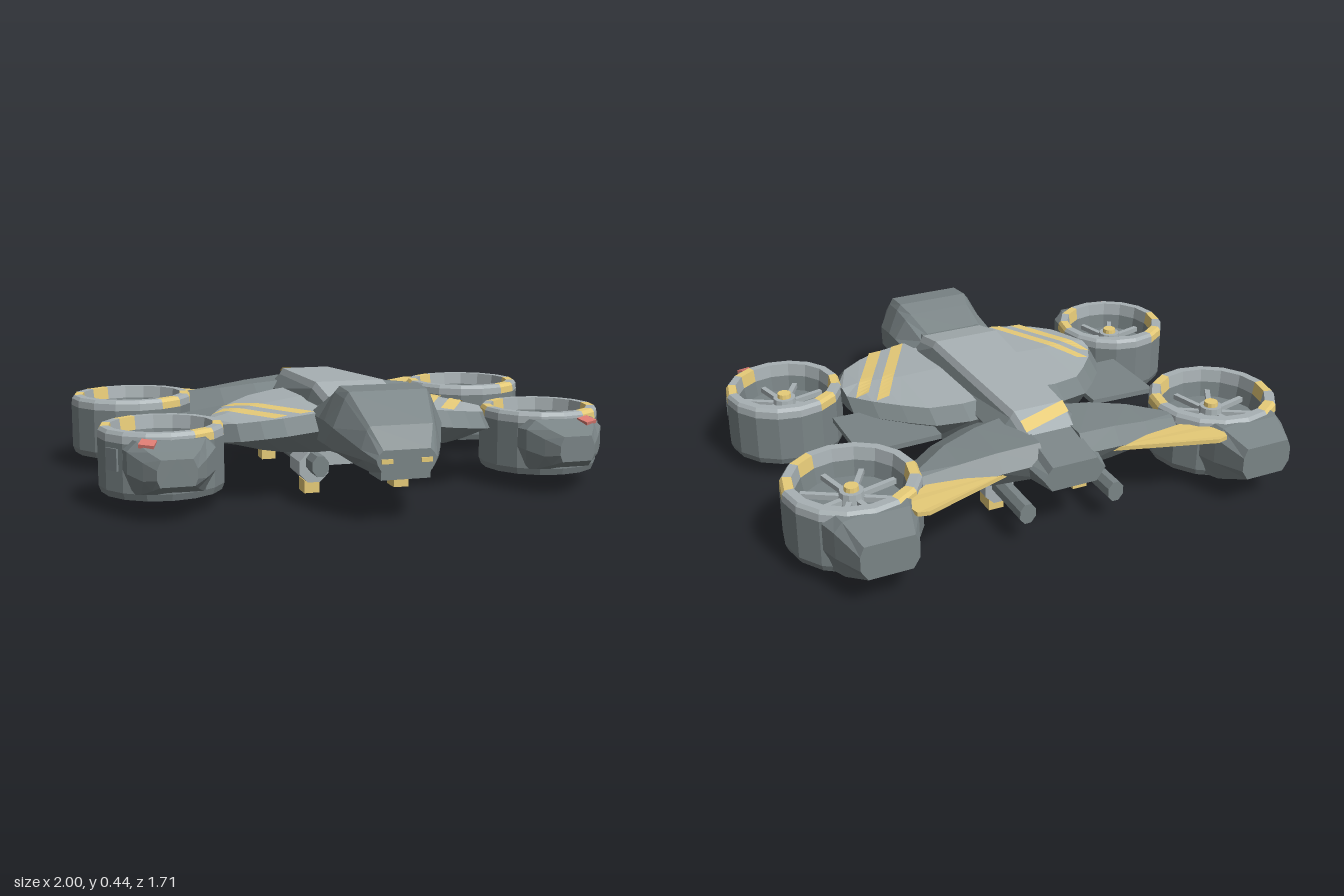
import * as THREE from 'three';

const mat = (name, color, side = THREE.FrontSide) =>
  Object.assign(new THREE.MeshStandardMaterial({ color, flatShading: true, side }), { name });
const hull = mat('hull grey', 0x7a8486);
const light = mat('light panel grey', 0xa8b1b4);
const yellow = mat('marking yellow', 0xeace7a, THREE.DoubleSide);
const red = mat('lamp red', 0xdb7b72);

function add(parent, name, geometry, material, x = 0, y = 0, z = 0) {
  const m = new THREE.Mesh(geometry, material);
  m.name = name;
  m.position.set(x, y, z);
  parent.add(m);
  return m;
}

// Skin equal-length rings of points into a capped solid; isLight(ring, side) picks light faces.
function loft(rings, isLight = () => false) {
  const tris = [[], []];
  const n = rings[0].length;
  for (let i = 0; i < rings.length - 1; i++) for (let j = 0; j < n; j++) {
    const k = (j + 1) % n, [a, b, c, d] = [rings[i][j], rings[i][k], rings[i + 1][k], rings[i + 1][j]];
    tris[isLight(i, j) ? 1 : 0].push([a, b, c], [a, c, d]);
  }
  const end = rings[rings.length - 1];
  for (let j = 1; j < n - 1; j++) tris[0].push([rings[0][0], rings[0][j + 1], rings[0][j]], [end[0], end[j], end[j + 1]]);
  const V = (p) => new THREE.Vector3(...p);
  let volume = 0;
  tris.flat().forEach(([a, b, c]) => { volume += V(a).dot(V(b).cross(V(c))); });
  const pos = tris.map((list) => list.flatMap(([a, b, c]) => (volume < 0 ? [a, c, b] : [a, b, c]).flat()));
  const g = new THREE.BufferGeometry();
  g.setAttribute('position', new THREE.Float32BufferAttribute(pos.flat(), 3));
  g.addGroup(0, pos[0].length / 3, 0);
  g.addGroup(pos[0].length / 3, pos[1].length / 3, 1);
  g.computeVertexNormals();
  return g;
}

// Painted band from a to b (x, z), following a height function.
function band(a, b, ax, az, height) {
  const p = [], idx = [], n = 16;
  for (let i = 0; i <= n; i++) {
    const t = i / n, x = a[0] + (b[0] - a[0]) * t, z = a[1] + (b[1] - a[1]) * t;
    p.push(x, height(x, z) + 0.006, z, x + ax, height(x + ax, z + az) + 0.006, z + az);
    if (i < n) idx.push(2 * i, 2 * i + 1, 2 * i + 2, 2 * i + 1, 2 * i + 3, 2 * i + 2);
  }
  const g = new THREE.BufferGeometry();
  g.setAttribute('position', new THREE.Float32BufferAttribute(p, 3));
  g.setIndex(idx);
  g.computeVertexNormals();
  return g;
}

// Linear interpolation through [key, value] pairs with ascending keys.
function lerpTable(table, k) {
  for (let i = 0; i < table.length - 1; i++) {
    const [[k0, v0], [k1, v1]] = [table[i], table[i + 1]];
    if (k <= k1 || i === table.length - 2) return v0 + (v1 - v0) * (k - k0) / (k1 - k0);
  }
}

// Symmetric ring across z from right-hand [halfWidth, y] pairs, listed top to bottom.
const ringZ = (z, pairs, cx = 0) => [
  ...pairs.map(([w, y]) => [cx + w, y, z]),
  ...pairs.slice().reverse().map(([w, y]) => [cx - w, y, z]),
];

// Front wing sections: x, front z, back z, top y, bottom y
const wing = [
  [0.08, 0.47, -0.29, 0.352, 0.178], [0.2, 0.485, -0.28, 0.34, 0.178], [0.32, 0.482, -0.235, 0.326, 0.185],
  [0.4, 0.46, -0.15, 0.316, 0.195], [0.48, 0.42, -0.05, 0.304, 0.21], [0.545, 0.32, 0.065, 0.288, 0.225],
];
const wingTop = ([, f, b, t]) => [[b + 0.075, t - 0.01], [(f + b) / 2, t], [f - 0.07, t - 0.015]];
const wingHeight = (x, z) =>
  lerpTable(wing.map((s) => [s[0], lerpTable(wingTop(s), z)]), Math.abs(x));

function buildWings(g, s) {
  const rings = wing.map((w) => {
    const [x, f, b, t, low] = w, top = wingTop(w);
    return [[f, t - 0.07], ...top.reverse(), [b, t - 0.05], [b + 0.07, low], [f - 0.08, low]]
      .map(([z, y]) => [s * x, y, z]);
  });
  add(g, 'frontWing', loft(rings, (i, j) => j === 1 || j === 2), [hull, light]);
  add(g, 'wingStripe', band([s * 0.415, 0.01], [s * 0.2, 0.405], s * 0.052, 0, wingHeight), yellow);
  add(g, 'wingStripe', band([s * 0.472, 0.085], [s * 0.3, 0.4], s * 0.05, 0.01, wingHeight), yellow);

  // Rear wing: x, back z, front z, top y, bottom y
  const rear = [[0.08, -0.66, -0.25, 0.345, 0.19], [0.24, -0.64, -0.27, 0.33, 0.19],
    [0.38, -0.625, -0.31, 0.31, 0.2], [0.54, -0.61, -0.41, 0.285, 0.21]];
  add(g, 'rearWing', loft(rear.map(([x, b, f, t, low]) =>
    [[b, t - 0.07], [b + 0.05, t - 0.01], [f - 0.13, t], [f, t - 0.07], [f - 0.06, low], [b + 0.05, low]]
      .map(([z, y]) => [s * x, y, z]))), hull);

  // Side plate
  const plate = (d) => [[0.325, 0.26, -0.29], [0.63, 0.225, -0.24], [0.63, 0.225, 0.07], [0.325, 0.26, 0]]
    .map(([x, y, z]) => [s * x, y + d, z]);
  add(g, 'sidePlate', loft([plate(-0.01), plate(0.01)]), hull);

  // Yellow tail fin bridging hull and rear duct
  const fin = (d) => [[0.2, 0.245, -0.62], [0.58, 0.27, -0.78], [0.62, 0.27, -0.77], [0.64, 0.27, -0.7], [0.6, 0.265, -0.66], [0.52, 0.26, -0.6]]
    .map(([x, y, z]) => [s * x, y + d, z]);
  add(g, 'tailFin', loft([fin(-0.008), fin(0.008)]), yellow);
}

function buildDuct(g, name, x, z, R) {
  const duct = new THREE.Group();
  duct.name = name;
  duct.position.set(x, 0, z);
  g.add(duct);
  const pts = (list) => list.map(([r, y]) => new THREE.Vector2(r * R, y));
  add(duct, 'ductShell', new THREE.LatheGeometry(
    pts([[0.79, 0.25], [0.74, 0.18], [0.8, 0.09], [0.85, 0.06], [0.96, 0.06], [1, 0.085], [1, 0.26]]), 16), hull);
  // Sixteen rim segments, four of them painted
  for (let k = 0; k < 16; k++) {
    const rim = new THREE.LatheGeometry(pts([[1, 0.26], [0.99, 0.287], [0.95, 0.3], [0.82, 0.3], [0.79, 0.25]]),
      1, Math.PI / 2 - (k + 1) * Math.PI / 8, Math.PI / 8);
    add(duct, 'rimSegment', rim, [0, 2, 8, 10].includes(k) ? yellow : light);
  }
  add(duct, 'rotorDisc', new THREE.CylinderGeometry(0.74 * R, 0.74 * R, 0.02, 16), hull, 0, 0.18, 0);
  add(duct, 'hub', new THREE.CylinderGeometry(0.044, 0.05, 0.055, 12), light, 0, 0.215, 0);
  add(duct, 'hubCap', new THREE.CylinderGeometry(0.026, 0.028, 0.02, 12), yellow, 0, 0.25, 0);
  for (let i = 0; i < 8; i++) {
    const arm = new THREE.BoxGeometry(0.74 * R - 0.03, 0.02, 0.02);
    arm.translate(0.37 * R + 0.015, 0, 0);
    add(duct, 'spoke', arm, light, 0, 0.21, 0).rotation.y = i * Math.PI / 4 + 0.25;
  }
}

// Tapered pod whose first ring wraps the duct wall at (cx, cz); dir is the z direction it points.
function podGeometry(cx, cz, R, dir, sections) {
  const rings = sections.map(([z, wt, t, wm, m, wb, b]) =>
    ringZ(z, [[0, t], [wt, t], [wm, t - 0.035], [wm, m], [wb, b], [0, b]], cx));
  rings[0].forEach((p) => { p[2] = cz + dir * Math.sqrt((0.93 * R) ** 2 - (p[0] - cx) ** 2); });
  return loft(rings);
}

function buildNacelles(g, s) {
  buildDuct(g, 'frontDuct', s * 0.75, 0.31, 0.23);
  buildDuct(g, 'rearDuct', s * 0.75, -0.48, 0.25);
  add(g, 'frontPod', podGeometry(s * 0.75, 0.31, 0.23, 1, [[0.5, 0.13, 0.275, 0.165, 0.17, 0.13, 0.08],
    [0.535, 0.12, 0.278, 0.155, 0.165, 0.11, 0.09], [0.6, 0.09, 0.25, 0.11, 0.15, 0.08, 0.115],
    [0.65, 0.055, 0.23, 0.07, 0.16, 0.06, 0.135]]), hull);
  add(g, 'rearPod', podGeometry(s * 0.75, -0.48, 0.25, -1, [[-0.66, 0.13, 0.29, 0.18, 0.15, 0.15, 0.068],
    [-0.73, 0.12, 0.285, 0.15, 0.15, 0.12, 0.07], [-0.85, 0.09, 0.25, 0.105, 0.16, 0.08, 0.12]]), hull);
  const lamp = add(g, 'lamp', new THREE.BoxGeometry(0.055, 0.014, 0.05), red, s * 0.835, 0.27, 0.553);
  lamp.rotation.set(0.25, s * 0.4, 0);
  add(g, 'servicePlate', new THREE.BoxGeometry(0.012, 0.08, 0.06), hull, s * 0.942, 0.2, 0.43).rotation.y = -s * 0.55;
}

// Fuselage sections: z, top half-width, top y, side half-width, side y, bottom half-width, bottom y
const spine = [[-0.73, 0.105, 0.295, 0.125, 0.25, 0.09, 0.2], [-0.55, 0.105, 0.335, 0.16, 0.28, 0.12, 0.185],
  [-0.44, 0.115, 0.385, 0.17, 0.3, 0.13, 0.18], [0.2, 0.15, 0.41, 0.18, 0.31, 0.14, 0.175],
  [0.35, 0.145, 0.375, 0.185, 0.31, 0.14, 0.175], [0.5, 0.12, 0.36, 0.18, 0.3, 0.12, 0.18]];

function buildFuselage(g) {
  const rings = spine.map(([z, wt, t, wm, m, wb, b]) =>
    ringZ(z, [[wt - 0.015, t], [wt, t - 0.025], [wm, m], [wb, b]]));
  add(g, 'fuselage', loft(rings, (i, j) => [0, 6, 7].includes(j) && i > 0 && i < 4), [hull, light]);
  const height = (x, z) => lerpTable(spine.map((s) => [s[0], s[2]]), z);
  add(g, 'spineStripe', band([-0.1, -0.442], [0.098, -0.49], 0, -0.05, height), yellow);

  // Cockpit: z, then half-width and y for roof, shoulder, belt, and belly
  const cockpit = [[0.34, 0.1, 0.365, 0.14, 0.355, 0.2, 0.315, 0.2, 0.24, 0.12, 0.185],
    [0.48, 0.13, 0.42, 0.155, 0.4, 0.205, 0.32, 0.205, 0.235, 0.125, 0.178],
    [0.55, 0.148, 0.443, 0.165, 0.42, 0.205, 0.32, 0.205, 0.235, 0.12, 0.175],
    [0.65, 0.145, 0.435, 0.16, 0.41, 0.203, 0.31, 0.2, 0.23, 0.12, 0.175],
    [0.79, 0.115, 0.335, 0.125, 0.32, 0.145, 0.255, 0.14, 0.22, 0.11, 0.175],
    [0.85, 0.085, 0.26, 0.1, 0.245, 0.11, 0.228, 0.105, 0.21, 0.09, 0.185]];
  add(g, 'cockpit', loft(cockpit.map(([z, ...v]) =>
    ringZ(z, [0, 2, 4, 6, 8].map((i) => [v[i], v[i + 1]])))), hull);
  add(g, 'chinSensor', new THREE.BoxGeometry(0.18, 0.03, 0.13), hull, 0, 0.17, 0.775);
  for (const s of [-1, 1]) add(g, 'noseLight', new THREE.BoxGeometry(0.04, 0.016, 0.008), yellow, s * 0.072, 0.222, 0.852);
}

function buildLandingGear(g) {
  const octagon = (r, length) => new THREE.CylinderGeometry(r, r, length, 8, 1, false, Math.PI / 8).rotateX(Math.PI / 2);
  for (const s of [-1, 1]) {
    add(g, 'skidRail', octagon(0.042, 1.14), hull, s * 0.18, 0.125, -0.15).scale.x = 0.8;
    for (const z of [0.26, -0.42]) {
      add(g, 'skidMount', new THREE.BoxGeometry(0.06, 0.08, 0.06), hull, s * 0.18, 0.18, z);
      add(g, 'footCollar', octagon(0.062, 0.14), light, s * 0.18, 0.105, z);
      add(g, 'foot', new THREE.BoxGeometry(0.06, 0.05, 0.08), yellow, s * 0.18, 0.025, z);
    }
  }
  for (const z of [0.26, -0.42]) add(g, 'crossBar', new THREE.BoxGeometry(0.36, 0.065, 0.05), light, 0, 0.133, z);
}

export function createModel() {
  const g = new THREE.Group();
  g.name = 'quadRotorAircraft';
  buildFuselage(g);
  for (const s of [1, -1]) {
    buildWings(g, s);
    buildNacelles(g, s);
  }
  buildLandingGear(g);
  return g;
}
